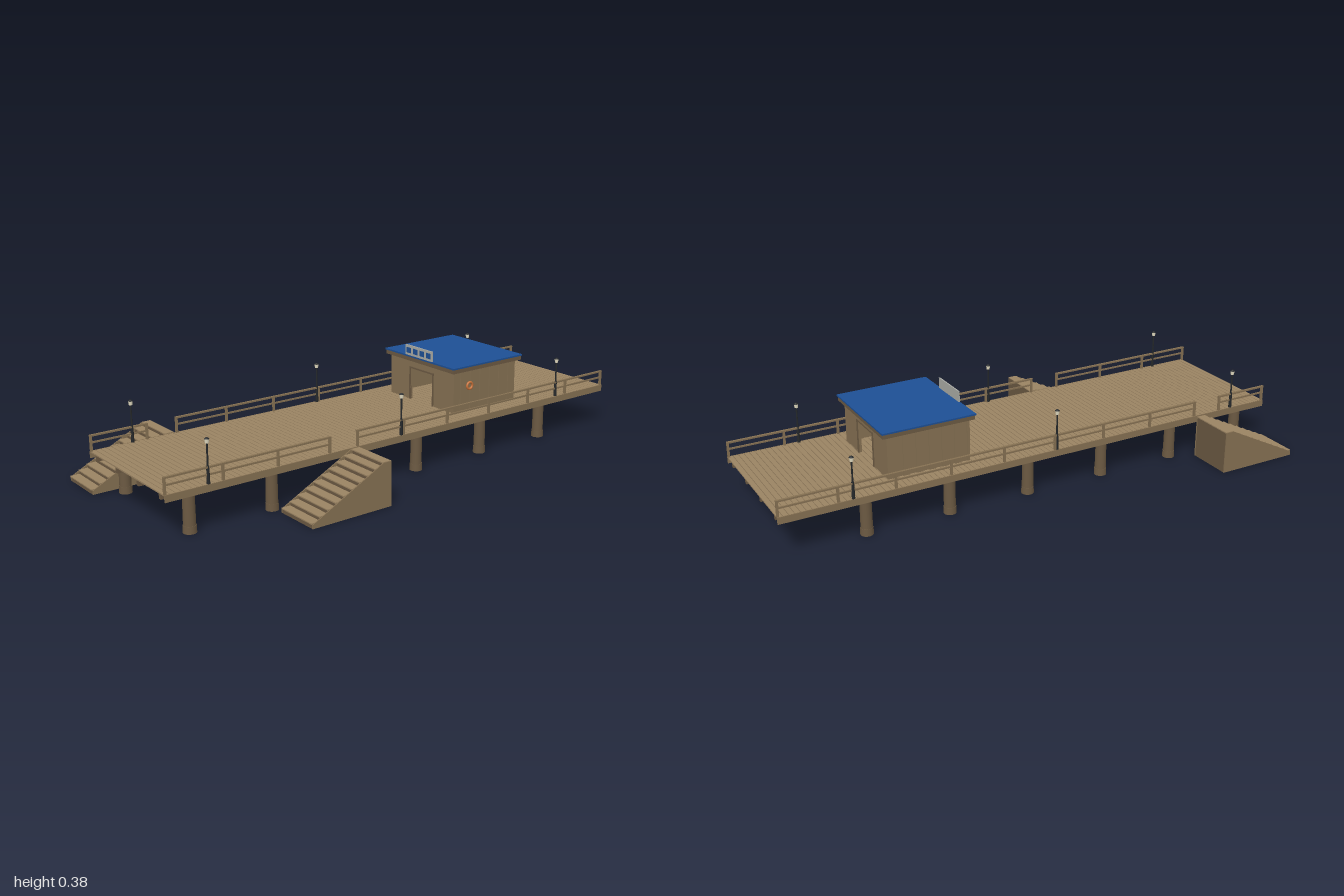
import * as THREE from 'three';

const mat = (color) => new THREE.MeshStandardMaterial({ color });
const plankMat = mat(0x9a8362), wood = mat(0x857052), darkWood = mat(0x6b5942);
const blue = mat(0x1d4f94), dark = mat(0x25282a), cream = mat(0xe6dfc4), orange = mat(0xc8743c), grey = mat(0xa9aaa4);

function add(parent, name, geo, material, x = 0, y = 0, z = 0) {
  const m = new THREE.Mesh(geo, material);
  m.name = name;
  m.position.set(x, y, z);
  parent.add(m);
  return m;
}
const box = (parent, name, w, h, d, material, x, y, z) =>
  add(parent, name, new THREE.BoxGeometry(w, h, d), material, x, y, z);
const cyl = (parent, name, rt, rb, h, seg, material, x, y, z) =>
  add(parent, name, new THREE.CylinderGeometry(rt, rb, h, seg), material, x, y, z);
function group(parent, name) {
  const g = new THREE.Group();
  g.name = name;
  parent.add(g);
  return g;
}
const shapeOf = (pts) => new THREE.Shape(pts.map(([x, y]) => new THREE.Vector2(x, y)));
const extrude = (shape, depth) => new THREE.ExtrudeGeometry(shape, { depth, bevelEnabled: false });

const DECK = 0.163;

// Cross planks with gaps, long beams underneath
function buildDeck(root) {
  const deck = group(root, 'deck');
  const n = 100, pitch = 2 / n;
  for (let i = 0; i < n; i++)
    box(deck, 'deckPlank', 0.52, 0.005, pitch - 0.0025, plankMat, 0, DECK - 0.0025, -1 + pitch * (i + 0.5));
  for (const x of [-0.222, -0.075, 0.075, 0.222])
    box(deck, 'beam', 0.013, 0.021, 1.99, darkWood, x, 0.1475, 0);
  for (const s of [-1, 1])
    box(deck, 'edgeBeam', 0.004, 0.025, 2, wood, s * 0.262, 0.1505, 0);
}

// Round piles with a wider foot and a dark cap
function buildPiles(root) {
  for (let i = 0; i < 6; i++) for (const s of [-1, 1]) {
    const pile = group(root, 'pile');
    pile.position.set(s * 0.222, 0, 0.895 - 0.315 * i);
    cyl(pile, 'pileShaft', 0.0205, 0.0215, 0.136, 16, darkWood, 0, 0.068, 0);
    cyl(pile, 'pileFoot', 0.0225, 0.0235, 0.026, 16, darkWood, 0, 0.013, 0);
    cyl(pile, 'pileCap', 0.0225, 0.0225, 0.006, 16, dark, 0, 0.136, 0);
  }
}

// One run of railing between two z positions
function buildRailing(root, x, z0, z1) {
  const rail = group(root, 'railing');
  const len = z1 - z0, mid = (z0 + z1) / 2;
  box(rail, 'topRail', 0.009, 0.006, len, wood, x, 0.219, mid);
  box(rail, 'middleRail', 0.005, 0.006, len, wood, x, 0.194, mid);
  const n = Math.max(1, Math.round(len / 0.21));
  for (let i = 0; i <= n; i++)
    box(rail, 'railPost', 0.008, 0.056, 0.008, wood, x, DECK + 0.027, z0 + 0.004 + (len - 0.008) * i / n);
}

// Side stair: stepped core, overhanging treads and sloping cheek boards
function buildStair(root, x, zTop) {
  const stair = group(root, 'stair');
  stair.position.set(x, 0, zTop);
  const n = 10, run = 0.325, w = 0.18, rise = 0.16 / n, going = run / n;
  const pts = [[0, 0], [0, n * rise]];
  for (let i = 0; i < n; i++) {
    pts.push([(i + 1) * going, (n - i) * rise]);
    pts.push([(i + 1) * going, (n - i - 1) * rise]);
  }
  pts.pop();
  pts.push([run, 0]);
  // profile is drawn along z, so turn its depth onto x
  const place = (name, shape, depth, xEdge, material) => {
    const m = add(stair, name, extrude(shape, depth), material, xEdge + depth, 0, 0);
    m.rotation.y = -Math.PI / 2;
  };
  place('stairCore', shapeOf(pts), w - 0.012, -w / 2 + 0.006, darkWood);
  const cheek = [[0, 0], [0, 0.162], [going, 0.162], [run, 0.014], [run, 0]];
  for (const s of [-1, 1]) place('stairCheek', shapeOf(cheek), 0.004, s * (w / 2 - 0.002) - 0.002, wood);
  for (let i = 0; i < n; i++)
    box(stair, 'tread', w - 0.008, 0.004, going + 0.003, plankMat, 0, (n - i) * rise + 0.001, (i + 0.5) * going + 0.0015);
}

// Lamp post with a lantern
function buildLamp(root, x, z) {
  const lamp = group(root, 'lamp');
  lamp.position.set(x, 0, z);
  cyl(lamp, 'lampBase', 0.005, 0.006, 0.06, 10, dark, 0, DECK + 0.03, 0);
  cyl(lamp, 'lampPole', 0.003, 0.003, 0.14, 10, dark, 0, 0.23, 0);
  cyl(lamp, 'lantern', 0.008, 0.006, 0.014, 10, cream, 0, 0.306, 0);
  cyl(lamp, 'lanternCap', 0.003, 0.009, 0.005, 10, dark, 0, 0.3155, 0);
}

// Open shed with doorways front and back
function buildShed(root) {
  const shed = group(root, 'shed');
  const zf = -0.263, zb = -0.578, top = 0.325, h = top - DECK;
  const wall = shapeOf([[-0.185, DECK], [-0.065, DECK], [-0.065, 0.29], [0.065, 0.29],
    [0.065, DECK], [0.185, DECK], [0.185, top], [-0.185, top]]);
  for (const [name, z, out] of [['frontWall', zf - 0.01, zf], ['backWall', zb, zb]]) {
    add(shed, name, extrude(wall, 0.01), wood, 0, 0, z);
    box(shed, 'doorLintel', 0.14, 0.006, 0.008, darkWood, 0, 0.291, out);
    for (const s of [-1, 1]) box(shed, 'doorJamb', 0.005, 0.127, 0.008, darkWood, s * 0.0675, DECK + 0.0635, out);
  }
  // side walls of boards at alternating depth
  const n = 12, bw = (zf - zb - 0.02) / n;
  for (const s of [-1, 1]) for (let i = 0; i < n; i++)
    box(shed, 'sideBoard', i % 2 ? 0.006 : 0.01, h, bw, wood, s * (i % 2 ? 0.178 : 0.18), DECK + h / 2, zb + 0.01 + bw * (i + 0.5));
  // flat roof
  const zr = -0.4225;
  box(shed, 'roofFascia', 0.396, 0.016, 0.349, darkWood, 0, 0.329, zr);
  box(shed, 'roofSheet', 0.402, 0.006, 0.355, blue, 0, 0.34, zr);
  // plain panel with four blue tiles
  box(shed, 'roofPanel', 0.156, 0.04, 0.005, grey, 0, 0.363, -0.248);
  for (let i = 0; i < 4; i++)
    box(shed, 'panelTile', 0.024, 0.021, 0.002, blue, -0.057 + 0.038 * i, 0.363, -0.245);
  // life ring
  const ring = add(shed, 'lifeRing', new THREE.TorusGeometry(0.013, 0.0045, 10, 24), orange, 0.188, 0.26, -0.34);
  ring.rotation.y = Math.PI / 2;
}

export function createModel() {
  const root = new THREE.Group();
  root.name = 'pier';
  buildDeck(root);
  buildPiles(root);
  // railings leave a gap at the top of each stair
  buildRailing(root, -0.257, 0.78, 1);
  buildRailing(root, -0.257, -1, 0.67);
  buildRailing(root, 0.257, 0.36, 1);
  buildRailing(root, 0.257, -1, 0.25);
  buildStair(root, -0.358, 0.672);
  buildStair(root, 0.356, 0.247);
  for (const z of [0.84, 0.05, -0.735]) for (const s of [-1, 1]) buildLamp(root, s * 0.257, z);
  buildShed(root);
  return root;
}
